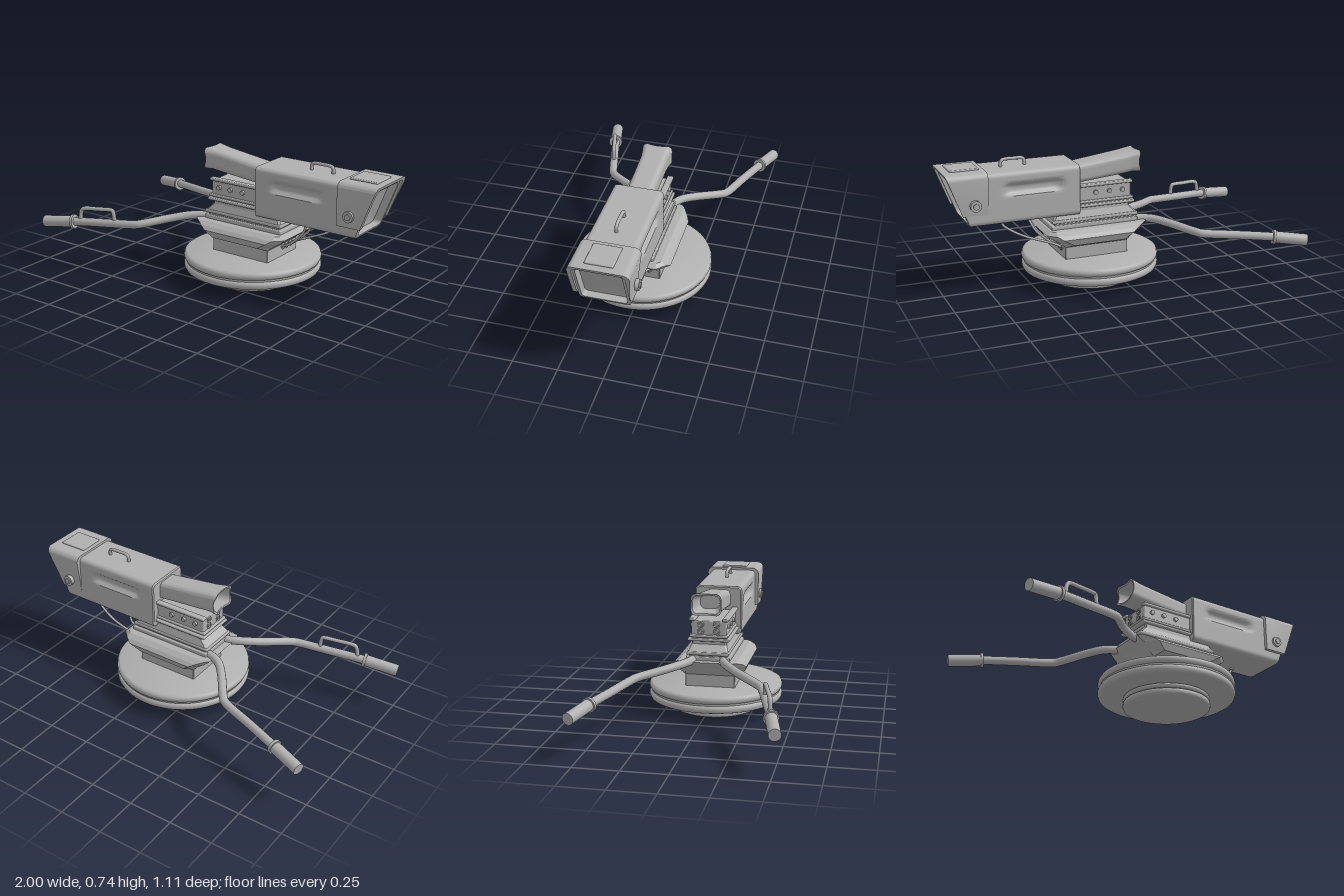
import * as THREE from 'three';
import { toCreasedNormals } from 'three/addons/utils/BufferGeometryUtils.js';
import { RoundedBoxGeometry } from 'three/addons/geometries/RoundedBoxGeometry.js';

const V = (x, y, z) => new THREE.Vector3(x, y, z);
const CX = 0.14, CZ = 0.02; // axis of the turntable

// Surface through rings of equal point count, with optional flat ends
function loft(rings, capStart = true, capEnd = true, crease = 0.6) {
  const pos = [], n = rings[0].length;
  const tri = (...p) => p.forEach(v => pos.push(v.x, v.y, v.z));
  for (let i = 0; i + 1 < rings.length; i++) {
    for (let j = 0; j < n; j++) {
      const k = (j + 1) % n, a = rings[i], b = rings[i + 1];
      tri(a[j], b[k], b[j]);
      tri(a[j], a[k], b[k]);
    }
  }
  const cap = (r, flip) => {
    const c = r.reduce((s, p) => s.add(p), V(0, 0, 0)).divideScalar(n);
    r.forEach((p, j) => flip ? tri(c, r[(j + 1) % n], p) : tri(c, p, r[(j + 1) % n]));
  };
  if (capStart) cap(rings[0], true);
  if (capEnd) cap(rings[rings.length - 1], false);
  const g = new THREE.BufferGeometry();
  g.setAttribute('position', new THREE.Float32BufferAttribute(pos, 3));
  return toCreasedNormals(g, crease);
}

// Rounded rectangle as points (z, y), centred on its middle
function roundRect(w, h, r, count) {
  const s = new THREE.Shape(), a = w / 2 - r, b = h / 2 - r, q = Math.PI / 2;
  s.absarc(a, b, r, 0, q).absarc(-a, b, r, q, 2 * q);
  s.absarc(-a, -b, r, 2 * q, 3 * q).absarc(a, -b, r, 3 * q, 4 * q);
  s.closePath();
  return s.getSpacedPoints(count).slice(0, count);
}

// Horizontal rectangle with cut corners
function plan(y, x0, x1, hz, c) {
  return [[x0 + c, -hz], [x1 - c, -hz], [x1, -hz + c], [x1, hz - c],
    [x1 - c, hz], [x0 + c, hz], [x0, hz - c], [x0, -hz + c]].map(([x, z]) => V(x, y, CZ + z));
}

const frontX = y => 0.993 - 0.39 * (0.705 - y); // slanted front of the housing

export function createModel() {
  const model = new THREE.Group();
  const grey = new THREE.MeshStandardMaterial({ color: 0xb0b0b0, side: THREE.DoubleSide });
  grey.name = 'grey metal';
  const add = (name, geo, x = 0, y = 0, z = 0) => {
    const m = new THREE.Mesh(geo, grey);
    m.name = name;
    m.position.set(x, y, z);
    model.add(m);
    return m;
  };
  const box = (name, x0, x1, y0, y1, z0, z1, r = 0.006) => add(name,
    new RoundedBoxGeometry(x1 - x0, y1 - y0, z1 - z0, 2, r), (x0 + x1) / 2, (y0 + y1) / 2, (z0 + z1) / 2);
  const tube = (name, pts, r, tension = 0.5) => add(name, new THREE.TubeGeometry(
    new THREE.CatmullRomCurve3(pts.map(p => V(...p)), false, 'catmullrom', tension), 48, r, 12));
  const rod = (name, a, b, r, sides = 24) => {
    const d = b.clone().sub(a), mid = a.clone().add(b).multiplyScalar(0.5);
    const m = add(name, new THREE.CylinderGeometry(r, r, d.length(), sides), mid.x, mid.y, mid.z);
    m.quaternion.setFromUnitVectors(V(0, 1, 0), d.normalize());
  };

  // Turntable: rounded discs in pairs with a groove between
  const disc = (name, r, y0, y1, e) => {
    const pts = [[0, y0], [r - e, y0], [r - e * 0.3, y0 + e * 0.3], [r, y0 + e],
      [r, y1 - e], [r - e * 0.3, y1 - e * 0.3], [r - e, y1], [0, y1]].map(p => new THREE.Vector2(...p));
    add(name, toCreasedNormals(new THREE.LatheGeometry(pts, 72), 0.8), CX, 0, CZ + 0.003);
  };
  disc('lowerBaseDisc', 0.245, 0, 0.033, 0.01);
  disc('baseCore', 0.225, 0.02, 0.09, 0.005);
  disc('upperBaseDisc', 0.245, 0.039, 0.061, 0.008);
  disc('lowerTurntable', 0.387, 0.065, 0.112, 0.018);
  disc('turntableCore', 0.375, 0.1, 0.13, 0.005);
  disc('upperTurntable', 0.387, 0.118, 0.163, 0.018);

  // Pedestal: column that flares into a wide chamfered head
  add('pedestal', loft([
    plan(0.15, -0.035, 0.335, 0.143, 0.003), plan(0.232, -0.035, 0.335, 0.143, 0.003),
    plan(0.255, -0.06, 0.36, 0.195, 0.06), plan(0.295, -0.105, 0.425, 0.212, 0.06),
    plan(0.315, -0.13, 0.445, 0.195, 0.05), plan(0.333, -0.147, 0.415, 0.165, 0.02)], true, true, 0.1));
  box('lowerSlab', -0.105, 0.405, 0.33, 0.355, CZ - 0.125, CZ + 0.125);
  box('middleSlab', -0.09, 0.385, 0.35, 0.368, CZ - 0.11, CZ + 0.11);
  box('upperSlab', -0.11, 0.4, 0.364, 0.383, CZ - 0.12, CZ + 0.12);
  add('slabTaper', loft([plan(0.38, -0.105, 0.395, 0.115, 0.01),
    plan(0.42, -0.065, 0.37, 0.1, 0.01), plan(0.45, -0.065, 0.37, 0.1, 0.01)], true, true, 0.1));
  box('mountingPlate', -0.09, 0.38, 0.44, 0.456, CZ - 0.12, CZ + 0.12);
  box('mountingPlateTop', -0.085, 0.37, 0.46, 0.476, CZ - 0.11, CZ + 0.11);

  // Cradle block with side rails, bolts and rear sockets
  box('cradleBlock', -0.072, 0.36, 0.45, 0.555, CZ - 0.1, CZ + 0.1);
  for (const s of [-1, 1]) {
    box('cradleRail', -0.08, 0.36, 0.553, 0.57, CZ + s * 0.095 - 0.018, CZ + s * 0.095 + 0.018);
    for (const x of [-0.02, 0.058, 0.14]) {
      rod('cradleBolt', V(x, 0.518, CZ + s * 0.095), V(x, 0.518, CZ + s * 0.113), 0.013, 16);
    }
    for (const y of [0.495, 0.535]) {
      add('rearSocket', new THREE.TorusGeometry(0.014, 0.005, 8, 20), -0.074, y, CZ + s * 0.045)
        .rotation.y = Math.PI / 2;
    }
  }

  // Sight tube: tapering rounded box with a flared, hollow eyepiece
  const sightRing = (x, y0, y1, hw, dish = 0) => roundRect(2 * hw, y1 - y0, 0.03, 64).map(p => {
    const t = Math.min(1, Math.abs(p.y) / ((y1 - y0) / 2)), u = Math.min(1, Math.abs(p.x) / hw);
    return V(x + dish * (2 - t * t - u * u), (y0 + y1) / 2 + p.y, CZ - 0.003 + p.x);
  });
  add('sightTube', loft([
    sightRing(-0.02, 0.615, 0.69, 0.055), sightRing(-0.147, 0.61, 0.712, 0.078, 0.02),
    sightRing(-0.149, 0.6, 0.722, 0.086, 0.02), sightRing(-0.1, 0.602, 0.717, 0.079),
    sightRing(-0.055, 0.594, 0.711, 0.073), sightRing(0.28, 0.563, 0.667, 0.072)]));

  // Housing: long rounded box with a dent in each side and a slanted front
  const ramp = THREE.MathUtils.smoothstep;
  const HY = 0.55;
  const housingRing = (t, w, h, r, back) => roundRect(w, h, r, 120).map(p => {
    const y = HY + p.y, x = 0.24 + t * (frontX(y) - 0.012 - 0.24) - back;
    const dent = 0.024 * ramp(x, 0.32, 0.38) * (1 - ramp(x, 0.62, 0.7))
      * ramp(y, 0.555, 0.585) * (1 - ramp(y, 0.605, 0.64));
    const side = Math.abs(p.x) > w / 2 - 0.004 ? Math.sign(p.x) : 0;
    return V(x, y, CZ - 0.002 + p.x - side * dent);
  });
  const rings = [housingRing(0, 0.262, 0.268, 0.02, 0)];
  for (let i = 0; i <= 40; i++) rings.push(housingRing(0.008 + 0.986 * i / 40, 0.276, 0.282, 0.025, 0));
  rings.push(housingRing(1, 0.264, 0.27, 0.022, 0), housingRing(1, 0.242, 0.248, 0.02, 0),
    housingRing(1, 0.236, 0.24, 0.02, 0.045), housingRing(1, 0.2, 0.205, 0.02, 0.05));
  add('housing', loft(rings));

  // Hood: cover over the top and sides of the housing front
  const hood = new THREE.Shape();
  const arch = (p, w, top, r, dir) => {
    const q = Math.PI / 2;
    if (dir > 0) p.absarc(w - r, top - r, r, 0, q).absarc(-w + r, top - r, r, q, 2 * q);
    else p.absarc(-w + r, top - r, r, 2 * q, q, true).absarc(w - r, top - r, r, q, 0, true);
  };
  hood.moveTo(0.16, 0.472);
  arch(hood, 0.16, 0.705, 0.035, 1);
  hood.lineTo(-0.16, 0.472).lineTo(-0.137, 0.472);
  arch(hood, 0.137, 0.688, 0.025, -1);
  hood.lineTo(0.137, 0.472);
  hood.closePath();
  const hoodGeo = new THREE.ExtrudeGeometry(hood, { depth: 1, bevelEnabled: false, curveSegments: 8 });
  const hp = hoodGeo.attributes.position;
  for (let i = 0; i < hp.count; i++) {
    const z = hp.getX(i), y = hp.getY(i), t = hp.getZ(i);
    hp.setXYZ(i, 0.765 + t * (frontX(y) - 0.765), y, CZ - 0.004 - z);
  }
  add('hood', toCreasedNormals(hoodGeo, 0.6));
  for (const s of [-1, 1]) {
    const z = CZ - 0.003;
    rod('hoodPivot', V(0.838, 0.533, z + s * 0.15), V(0.838, 0.533, z + s * 0.172), 0.03, 32);
    rod('hoodPivotCap', V(0.838, 0.533, z + s * 0.17), V(0.838, 0.533, z + s * 0.179), 0.016, 24);
  }
  box('hoodTopPlate', 0.79, 0.95, 0.7, 0.714, CZ - 0.075, CZ + 0.075);

  // Carrying handle on the housing
  tube('topHandle', [[0.515, 0.685, CZ], [0.518, 0.718, CZ], [0.535, 0.73, CZ], [0.58, 0.731, CZ],
    [0.63, 0.73, CZ], [0.648, 0.718, CZ], [0.65, 0.685, CZ]], 0.0095);

  // Steering arms with grips and collars
  const arms = [
    [[-0.06, 0.333, 0.1], [-0.13, 0.335, 0.118], [-0.2, 0.332, 0.158], [-0.28, 0.318, 0.23],
      [-0.385, 0.296, 0.345], [-0.44, 0.287, 0.378], [-0.6, 0.275, 0.42], [-0.8, 0.26, 0.472], [-0.995, 0.236, 0.517]],
    [[-0.06, 0.333, -0.06], [-0.13, 0.335, -0.075], [-0.2, 0.332, -0.113], [-0.27, 0.318, -0.19],
      [-0.36, 0.296, -0.31], [-0.41, 0.287, -0.345], [-0.58, 0.275, -0.4], [-0.77, 0.26, -0.465], [-0.955, 0.236, -0.525]]];
  for (const pts of arms) {
    tube('steeringArm', pts, 0.024);
    const a = V(...pts[7]), b = V(...pts[8]);
    rod('grip', a, b, 0.033);
    rod('gripCollar', a, a.clone().lerp(b, 0.08), 0.041);
  }
  tube('triggerGuard', [[-0.765, 0.27, 0.463], [-0.757, 0.325, 0.461], [-0.735, 0.347, 0.455], [-0.65, 0.353, 0.433],
    [-0.575, 0.357, 0.413], [-0.558, 0.345, 0.409], [-0.55, 0.28, 0.407]], 0.012);

  // Cables from the housing to ring terminals on the pedestal
  const cables = [[0.51, 0.025, 0.012, 0.46], [0.52, -0.012, -0.024, 0.47], [0.68, -0.068, -0.062, 0.56]];
  for (const [x, z0, z1, bend] of cables) {
    tube('cable', [[x, 0.42, z0], [x - 0.015, 0.38, z0], [bend, 0.315, (z0 + z1) / 2 - 0.01],
      [0.39, 0.245, z1 + 0.006], [0.335, 0.217, z1]], 0.007);
    rod('cablePlug', V(x, 0.4, z0), V(x, 0.42, z0), 0.014, 16);
    add('cableTerminal', new THREE.TorusGeometry(0.013, 0.005, 8, 20), 0.338, 0.217, z1).rotation.y = Math.PI / 2;
  }
  return model;
}
